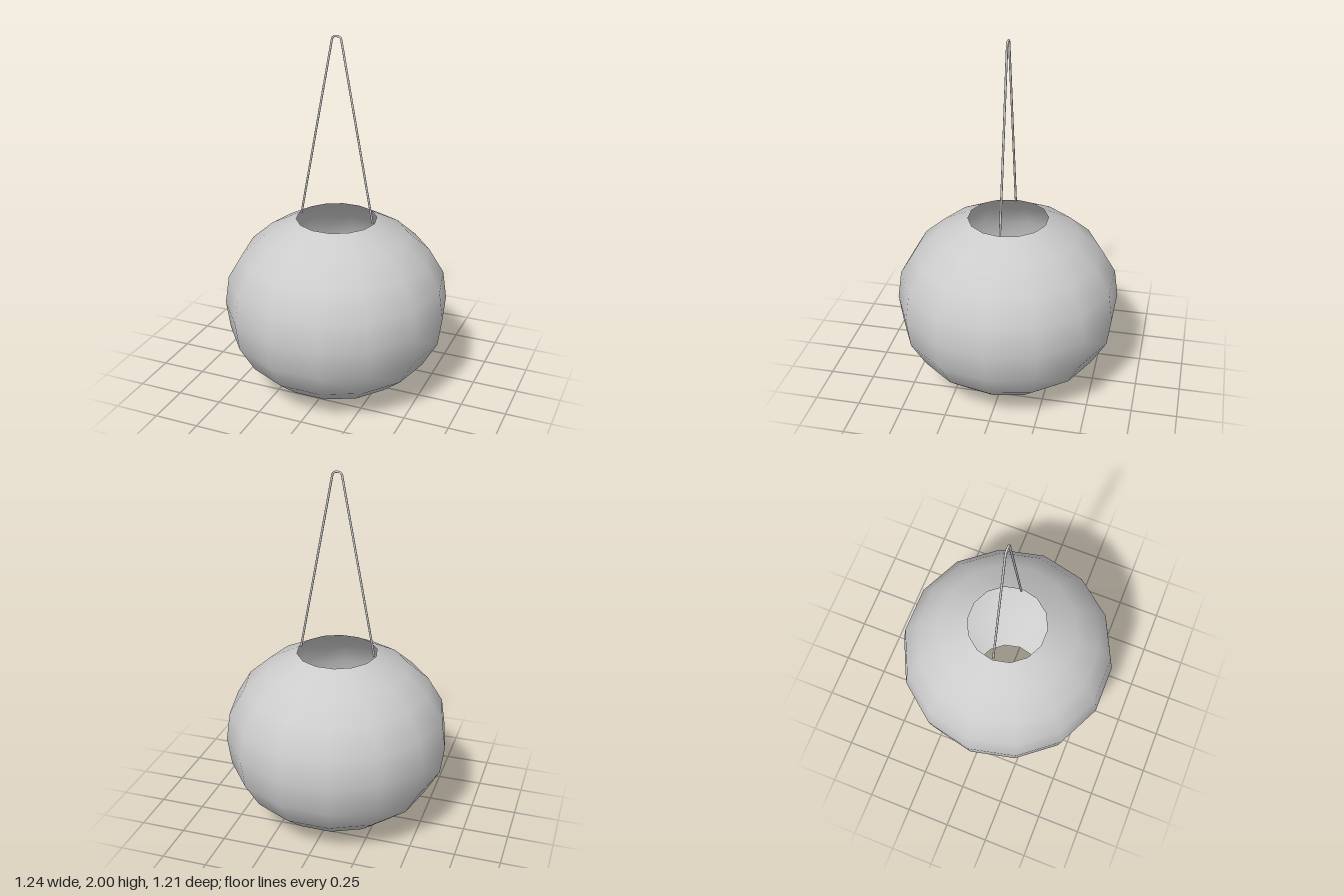
import * as THREE from 'three';

export function createModel() {
  const model = new THREE.Group();
  const material = new THREE.MeshStandardMaterial({ color: 0xcccccc, side: THREE.DoubleSide });

  // Thin round shade, open at top and bottom, 14 sides with a corner on +x
  const profile = [
    [0.22, 0], [0.39, 0.093], [0.515, 0.2], [0.598, 0.345], [0.62, 0.503],
    [0.598, 0.66], [0.515, 0.8], [0.39, 0.91], [0.22, 1],
  ].map(([r, y]) => new THREE.Vector2(r, y));
  const shade = new THREE.Mesh(new THREE.LatheGeometry(profile, 14, Math.PI / 2), material);
  shade.name = 'shade';
  model.add(shade);

  // Thin wire hanger: two straight legs joined by a small bend at the top
  const p = (x, y) => new THREE.Vector3(x, y, 0);
  const path = new THREE.CurvePath();
  path.add(new THREE.LineCurve3(p(-0.209, 0.998), p(-0.025, 1.98)));
  path.add(new THREE.CubicBezierCurve3(p(-0.025, 1.98), p(-0.021, 1.999), p(0.021, 1.999), p(0.025, 1.98)));
  path.add(new THREE.LineCurve3(p(0.025, 1.98), p(0.209, 0.998)));
  const hanger = new THREE.Mesh(new THREE.TubeGeometry(path, 160, 0.006, 8), material);
  hanger.name = 'hangerWire';
  model.add(hanger);

  return model;
}
